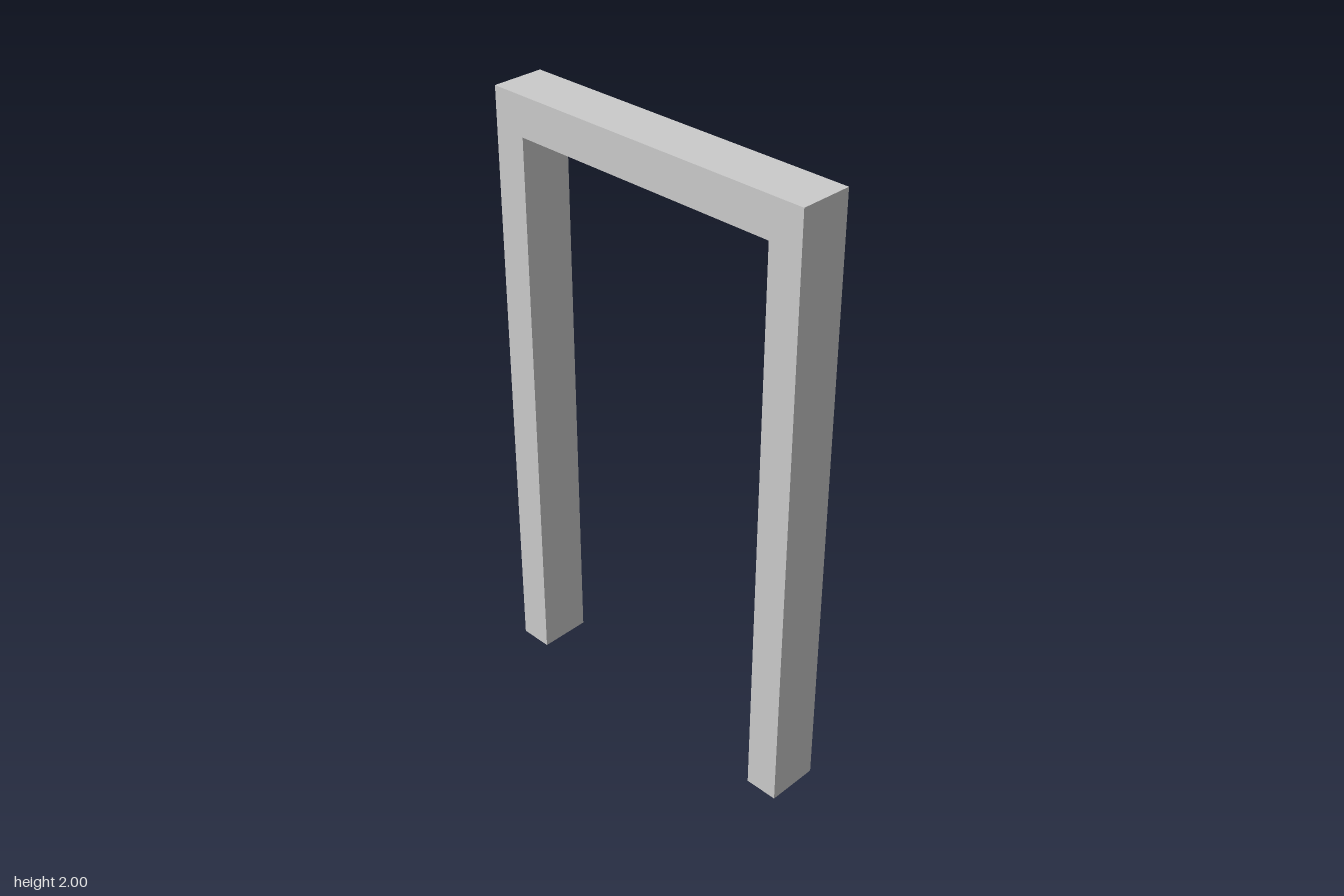
import * as THREE from 'three';

const OUTER = 0.577, INNER = 0.467, HEIGHT = 2, LINTEL_Y = 1.873, DEPTH = 0.172;

// Drops the triangles lying on the ground, leaving the hollow feet open
function openBottom(geometry) {
  const p = geometry.attributes.position;
  const kept = [];
  for (let i = 0; i < p.count; i += 3) {
    const onGround = [0, 1, 2].every((k) => Math.abs(p.getY(i + k)) < 1e-6);
    if (onGround) continue;
    for (let k = 0; k < 3; k++) kept.push(p.getX(i + k), p.getY(i + k), p.getZ(i + k));
  }
  const open = new THREE.BufferGeometry();
  open.setAttribute('position', new THREE.Float32BufferAttribute(kept, 3));
  open.computeVertexNormals();
  return open;
}

export function createModel() {
  const group = new THREE.Group();
  group.name = 'doorway';

  // Two jambs and a lintel as one continuous casing
  const outline = new THREE.Shape([
    [-OUTER, 0], [-INNER, 0], [-INNER, LINTEL_Y], [INNER, LINTEL_Y],
    [INNER, 0], [OUTER, 0], [OUTER, HEIGHT], [-OUTER, HEIGHT],
  ].map(([x, y]) => new THREE.Vector2(x, y)));
  const solid = new THREE.ExtrudeGeometry(outline, { depth: DEPTH, bevelEnabled: false });
  solid.translate(0, 0, -DEPTH / 2);

  const material = new THREE.MeshStandardMaterial({
    color: 0xcccccc, flatShading: true, side: THREE.DoubleSide,
  });
  const frame = new THREE.Mesh(openBottom(solid), material);
  frame.name = 'doorFrame';
  group.add(frame);
  return group;
}
